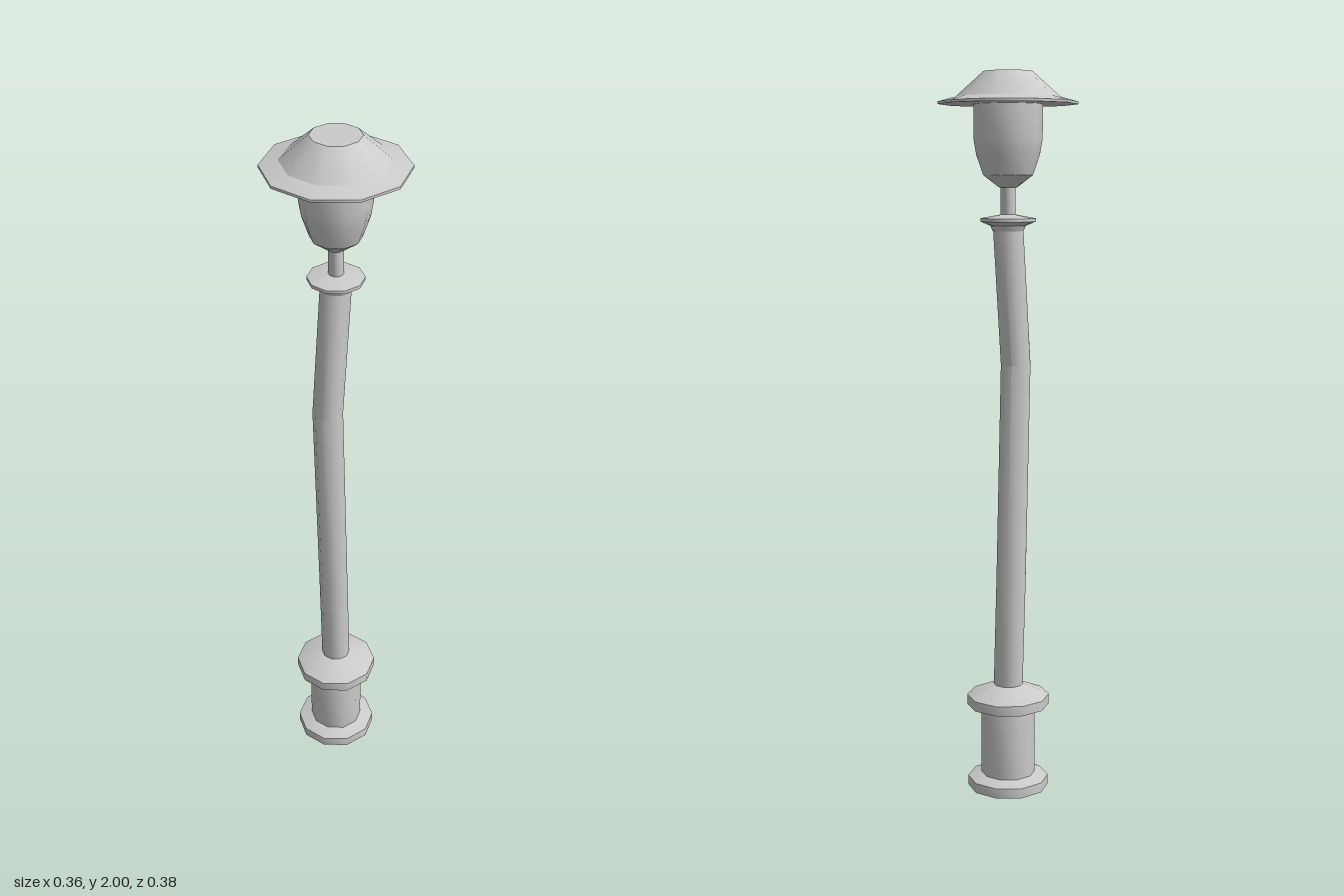
import * as THREE from 'three';
import { toCreasedNormals } from 'three/addons/utils/BufferGeometryUtils.js';

const SIDES = 10;
const CREASE = 0.645; // just over the 36 degrees between neighbouring sides

// Ten-sided turned part from [radius, height] pairs, listed from bottom to top
function turned(name, profile, bend) {
  const points = profile.map(([r, y]) => new THREE.Vector2(r, y));
  const geometry = new THREE.LatheGeometry(points, SIDES);
  if (bend) bend(geometry.attributes.position);
  const mesh = new THREE.Mesh(
    toCreasedNormals(geometry, CREASE),
    new THREE.MeshStandardMaterial({ color: 0xcccccc })
  );
  mesh.name = name;
  return mesh;
}

// Centre line of the crooked pole: x, y, z
const POLE = [[0, 0.28, 0], [0.004, 0.61, -0.013], [-0.037, 1.21, 0], [0, 1.59, 0]];

// Shifts each ring of the pole onto the centre line
function bendPole(position) {
  for (let i = 0; i < position.count; i++) {
    const [x, , z] = POLE[i % POLE.length];
    position.setX(i, position.getX(i) + x);
    position.setZ(i, position.getZ(i) + z);
  }
}

export function createModel() {
  const lamp = new THREE.Group();
  lamp.name = 'streetLamp';

  lamp.add(
    // Pedestal
    turned('foot', [[0, 0], [0.114, 0], [0.114, 0.028], [0.076, 0.04]]),
    turned('pedestalColumn', [[0.076, 0.035], [0.076, 0.235]]),
    turned('pedestalCollar', [[0.076, 0.228], [0.116, 0.242], [0.116, 0.27], [0.042, 0.302], [0, 0.302]]),

    // Crooked pole and its top collar
    turned('pole', POLE.map(([, y]) => [0.041, y]), bendPole),
    turned('poleCollar', [[0, 1.578], [0.042, 1.578], [0.048, 1.592], [0.075, 1.603], [0.075, 1.612], [0.022, 1.622], [0, 1.622]]),

    // Lantern
    turned('stem', [[0.02, 1.61], [0.02, 1.705]]),
    turned('lanternCup', [[0, 1.694], [0.024, 1.694], [0.067, 1.727]]),
    turned('lanternGlass', [[0.067, 1.727], [0.086, 1.782], [0.093, 1.825], [0.093, 1.918]]),

    // Hat
    turned('hatBrim', [[0, 1.914], [0.189, 1.914], [0.189, 1.921], [0.14, 1.934]]),
    turned('hatCone', [[0.14, 1.934], [0.066, 2], [0, 2]])
  );
  return lamp;
}
